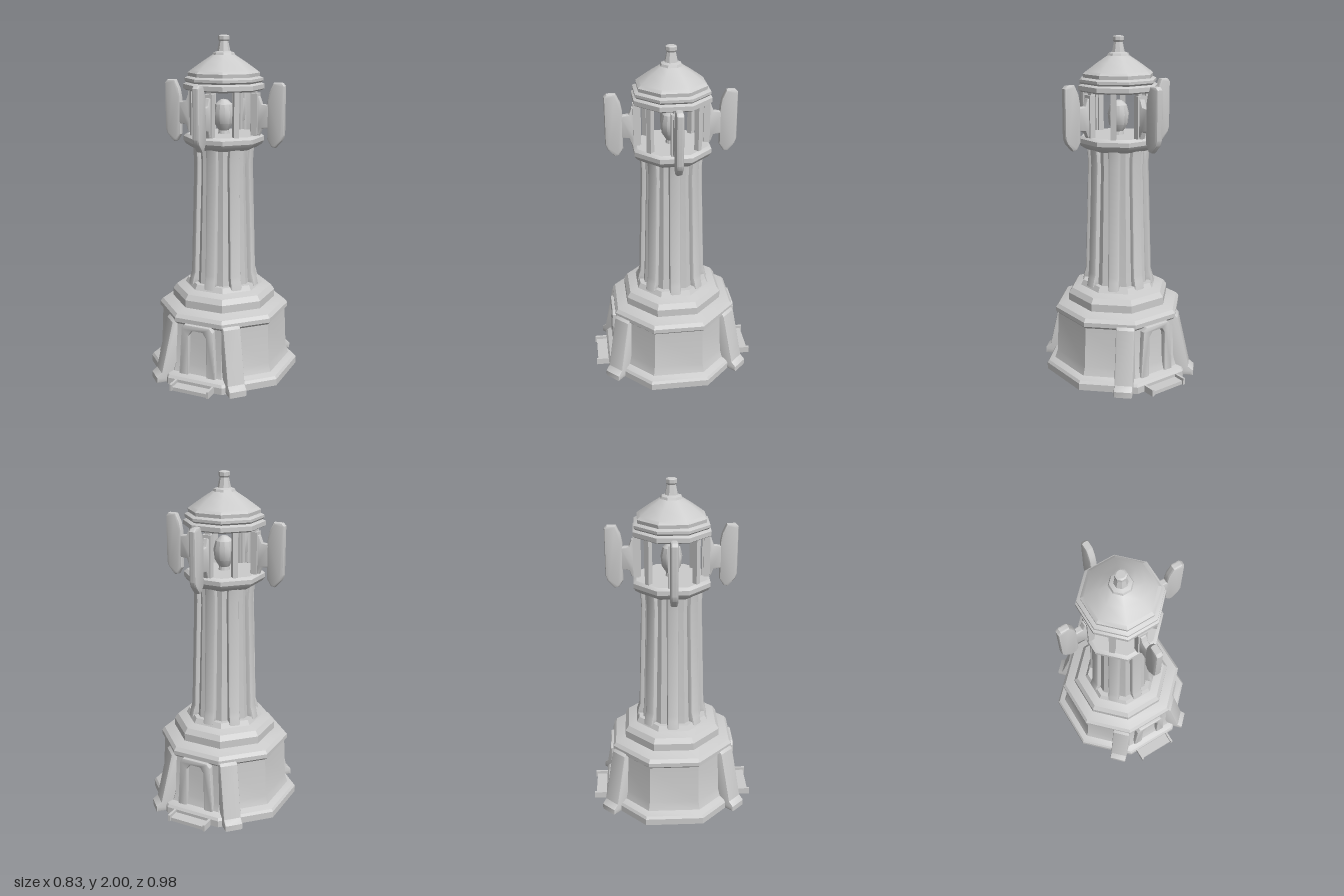
import * as THREE from 'three';
import { toCreasedNormals } from 'three/addons/utils/BufferGeometryUtils.js';

const mat = new THREE.MeshStandardMaterial({ color: 0xcccccc });

export function createModel() {
  const model = new THREE.Group();

  const add = (name, geo, parent = model) => {
    const mesh = new THREE.Mesh(toCreasedNormals(geo, 0.5), mat);
    mesh.name = name;
    parent.add(mesh);
    return mesh;
  };

  // Octagonal solid from [apothem, y] pairs, flats facing the axes
  const octagon = (name, profile) => {
    const pts = profile.map(([r, y]) => new THREE.Vector2(r / Math.cos(Math.PI / 8), y));
    return add(name, new THREE.LatheGeometry(pts, 8, Math.PI / 8));
  };

  // Flat outline extruded symmetrically about z = 0
  const slab = (points, depth, bevel = 0, hole) => {
    const shape = new THREE.Shape(points.map(([x, y]) => new THREE.Vector2(x, y)));
    if (hole) shape.holes.push(new THREE.Path(hole.map(([x, y]) => new THREE.Vector2(x, y))));
    const geo = new THREE.ExtrudeGeometry(shape, {
      depth: depth - 2 * bevel, bevelEnabled: bevel > 0,
      bevelSize: bevel, bevelThickness: bevel, bevelOffset: -bevel, bevelSegments: 2,
    });
    return geo.translate(0, 0, -depth / 2 + bevel);
  };

  // Plinth, base walls and stepped shoulder
  octagon('base', [
    [0, 0], [0.415, 0], [0.415, 0.04], [0.405, 0.055], [0.37, 0.07], [0.355, 0.12],
    [0.345, 0.36], [0.36, 0.375], [0.36, 0.4], [0.345, 0.42], [0.285, 0.44],
    [0.285, 0.485], [0.265, 0.515], [0.215, 0.53], [0.2, 0.56], [0, 0.56],
  ]);

  // Sloping buttresses on the diagonals
  for (const sx of [1, -1]) for (const sz of [1, -1]) {
    const b = add('buttress', slab(
      [[-0.1, 0], [0.1, 0], [0.1, 0.035], [0.07, 0.06], [0.0, 0.37], [-0.03, 0.4], [-0.1, 0.4]], 0.107, 0.008));
    b.position.set(sx * 0.2, 0, sz * 0.33);
    b.rotation.y = -Math.atan2(sz, sx);
  }

  // Doorways and entrance steps, front and back
  for (const turn of [0, Math.PI]) {
    const entrance = new THREE.Group();
    entrance.name = 'entrance';
    entrance.rotation.y = turn;
    model.add(entrance);
    add('doorFrame', slab(
      [[-0.12, 0.04], [0.12, 0.04], [0.1, 0.35], [0.08, 0.375], [-0.08, 0.375], [-0.1, 0.35]], 0.07, 0.008,
      [[-0.058, 0.06], [-0.055, 0.31], [-0.035, 0.34], [0.035, 0.34], [0.055, 0.31], [0.058, 0.06]]),
    entrance).position.z = 0.345;
    add('step', new THREE.BoxGeometry(0.23, 0.022, 0.09), entrance).position.set(0, 0.011, 0.435);
    for (const s of [1, -1])
      add('stepCurb', new THREE.BoxGeometry(0.014, 0.04, 0.08), entrance).position.set(s * 0.117, 0.02, 0.45);
  }

  // Tapered tower core
  octagon('shaft', [[0.175, 0.54], [0.168, 0.65], [0.15, 1.25], [0.155, 1.38]]);

  // Vertical ribs with a foot and flared head, one on each face
  for (let i = 0; i < 8; i++) {
    const rib = add('shaftRib', slab(
      [[0.1, 0.54], [0.215, 0.54], [0.205, 0.59], [0.196, 0.62], [0.176, 1.28], [0.182, 1.37], [0.1, 1.37]],
      0.068, 0.012));
    rib.rotation.y = i * Math.PI / 4;
  }

  // Lantern gallery
  octagon('gallery', [
    [0, 1.36], [0.175, 1.36], [0.205, 1.38], [0.218, 1.4], [0.218, 1.425], [0.2, 1.44], [0, 1.44],
  ]);

  // Lantern posts
  for (let i = 0; i < 8; i++) {
    const a = i * Math.PI / 4;
    const post = add('lanternPost', new THREE.BoxGeometry(0.03, 0.28, 0.03));
    post.position.set(Math.sin(a) * 0.188, 1.565, Math.cos(a) * 0.188);
    post.rotation.y = a;
  }

  // Lamp
  add('lamp', new THREE.LatheGeometry([
    [0, 1.43], [0.035, 1.43], [0.03, 1.46], [0.055, 1.5], [0.062, 1.56], [0.05, 1.61], [0.022, 1.635], [0, 1.64],
  ].map(([x, y]) => new THREE.Vector2(x, y)), 12));

  // Cornice, roof and finial
  octagon('roof', [
    [0, 1.69], [0.2, 1.69], [0.217, 1.7], [0.217, 1.725], [0.2, 1.735], [0.21, 1.745], [0.21, 1.76],
    [0.19, 1.77], [0.192, 1.79], [0.175, 1.805], [0.11, 1.855], [0.06, 1.89], [0.055, 1.903], [0.035, 1.91],
    [0.024, 1.965], [0.03, 1.975], [0.03, 1.995], [0.022, 2], [0, 2],
  ]);

  // Vertical fins bracketed off the lantern
  for (let i = 0; i < 4; i++) {
    const fin = new THREE.Group();
    fin.name = 'fin';
    fin.rotation.y = i * Math.PI / 2;
    model.add(fin);
    add('finBlade', slab([
      [0.3, 1.38], [0.325, 1.375], [0.365, 1.42], [0.376, 1.45], [0.376, 1.725], [0.36, 1.742],
      [0.31, 1.742], [0.285, 1.69], [0.275, 1.64], [0.275, 1.42],
    ], 0.042, 0.012), fin);
    add('finBracket', slab([
      [0.19, 1.46], [0.225, 1.44], [0.24, 1.48], [0.29, 1.485], [0.29, 1.615], [0.24, 1.62],
      [0.225, 1.66], [0.19, 1.67],
    ], 0.036, 0.008), fin);
    add('finMount', new THREE.BoxGeometry(0.035, 0.24, 0.055), fin).position.set(0.2, 1.56, 0);
  }

  return model;
}
